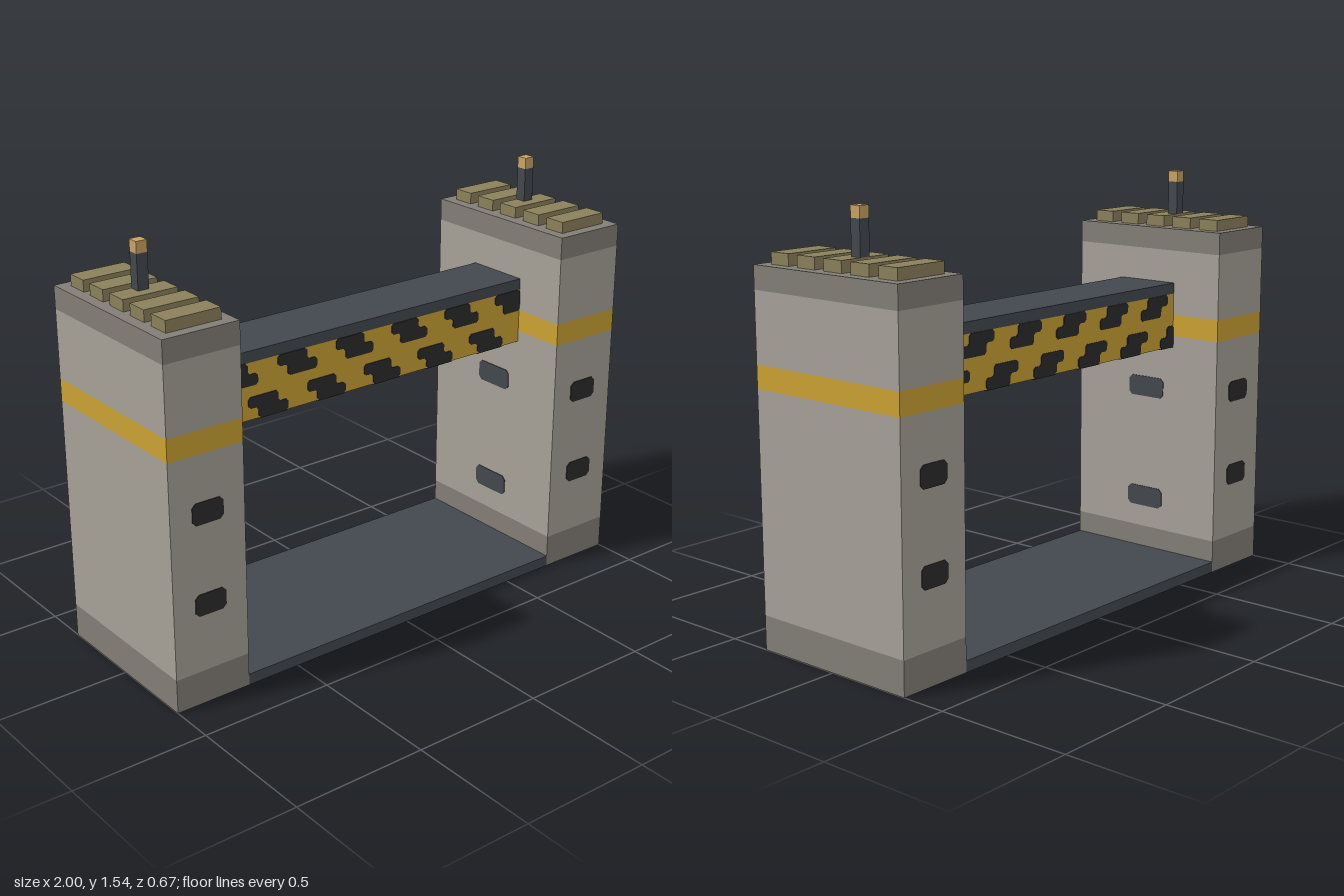
import * as THREE from 'three';

const U = 1 / 24; // building module
const paint = (name, hex) => {
  const m = new THREE.MeshStandardMaterial({ color: hex });
  m.name = name;
  return m;
};

export function createModel() {
  const wall = paint('concrete', 0xa6a097);
  const trim = paint('darkConcrete', 0x827e76);
  const yellow = paint('hazardYellow', 0xcaa132);
  const black = paint('black', 0x2b2b2b);
  const slate = paint('slate', 0x43484e);
  const olive = paint('olive', 0x8b805b);
  const tan = paint('lampTan', 0xc9a262);

  const model = new THREE.Group();
  model.name = 'gate';

  // Box given by its min and max corners
  function box(parent, name, mat, x0, x1, y0, y1, z0, z1) {
    const mesh = new THREE.Mesh(new THREE.BoxGeometry(x1 - x0, y1 - y0, z1 - z0), mat);
    mesh.position.set((x0 + x1) / 2, (y0 + y1) / 2, (z0 + z1) / 2);
    mesh.name = name;
    parent.add(mesh);
    return mesh;
  }

  // Thin plate from a polygon whose corners are cut by c
  function plate(parent, name, mat, corners, c) {
    const pts = corners.map(p => new THREE.Vector2(...p));
    const out = [];
    pts.forEach((p, i) => {
      for (const q of [pts[(i + pts.length - 1) % pts.length], pts[(i + 1) % pts.length]]) {
        const d = q.clone().sub(p);
        out.push(p.clone().addScaledVector(d.normalize(), c));
      }
    });
    const geo = new THREE.ExtrudeGeometry(new THREE.Shape(out), { depth: 0.003, bevelEnabled: false });
    const mesh = new THREE.Mesh(geo, mat);
    mesh.name = name;
    parent.add(mesh);
    return mesh;
  }

  function windowPlate(parent, name, mat, w, h) {
    return plate(parent, name, mat,
      [[-w / 2, -h / 2], [w / 2, -h / 2], [w / 2, h / 2], [-w / 2, h / 2]], 0.014);
  }

  const inner = 17 * U, depth = 8 * U, half = 3 * U;

  // Towers
  for (const s of [1, -1]) {
    const tower = new THREE.Group();
    tower.name = s > 0 ? 'leftTower' : 'rightTower';
    model.add(tower);
    const x0 = s > 0 ? inner : -1, x1 = s > 0 ? 1 : -inner;
    const cx = s * 20.5 * U;
    const layers = [
      ['base', trim, 0, 3], ['lowerWall', wall, 3, 22], ['yellowBand', yellow, 22, 24],
      ['upperWall', wall, 24, 30], ['cap', trim, 30, 32],
    ];
    for (const [name, mat, a, b] of layers) box(tower, name, mat, x0, x1, a * U, b * U, -depth, depth);

    // Windows on the front, back and passage sides
    for (const y of [9 * U, 17 * U]) {
      const front = windowPlate(tower, 'frontWindow', black, 0.122, 0.08);
      front.position.set(cx, y, depth);
      const back = windowPlate(tower, 'backWindow', black, 0.122, 0.08);
      back.position.set(cx, y, -depth);
      back.rotation.y = Math.PI;
    }
    for (const y of [0.25, 0.7]) {
      const side = windowPlate(tower, 'passageWindow', slate, 0.165, 0.08);
      side.position.set(s * inner, y, 0);
      side.rotation.y = -s * Math.PI / 2;
    }

    // Roof slabs and lamp post
    for (let i = -2; i <= 2; i++) {
      const z = i * 3 * U;
      box(tower, 'roofSlab', olive, cx - 0.104, cx + 0.104, 32 * U, 33 * U, z - U, z + U);
    }
    box(tower, 'lampPost', slate, cx - U / 2, cx + U / 2, 33 * U, 36 * U, -U, 0);
    box(tower, 'lamp', tan, cx - U / 2, cx + U / 2, 36 * U, 37 * U, -U, 0);
  }

  // Floor and cross beam
  box(model, 'floor', slate, -inner, inner, 0, U, -depth, depth);
  const beam = new THREE.Group();
  beam.name = 'beam';
  model.add(beam);
  box(beam, 'beamBody', yellow, -inner, inner, 21 * U, 26 * U, -half, half);
  box(beam, 'beamDeck', slate, -inner, inner, 26 * U, 27 * U, -half, half);

  // Hazard stripes: two rows of stepped patches on each long face
  const clampX = v => Math.min(34, Math.max(0, v)) * U - inner;
  function patches(first, count, start, top) {
    for (let k = first; k < first + count; k++) {
      const n = start + 6 * k;
      const a = clampX(n), b = clampX(n + 3), c = clampX(n + 1), d = clampX(n + 4);
      const yT = top * U, yM = (top - 1) * U, yB = (top - 2) * U;
      const corners = [[a, yT], [a, yM]];
      if (c > a) corners.push([c, yM]);
      corners.push([c, yB], [d, yB], [d, yM]);
      if (d > b) corners.push([b, yM]);
      corners.push([b, yT]);
      for (const z of [half, -half - 0.003]) {
        plate(beam, 'hazardPatch', black, corners, 0.009).position.z = z;
      }
    }
  }
  patches(0, 6, 1, 26);
  patches(-1, 6, 4, 23);

  // Stripes across the underside
  for (let k = -1; k < 5; k++) {
    box(beam, 'undersideStripe', black, clampX(5 + 6 * k), clampX(8 + 6 * k),
      21 * U - 0.003, 21 * U, -half, half);
  }

  return model;
}
